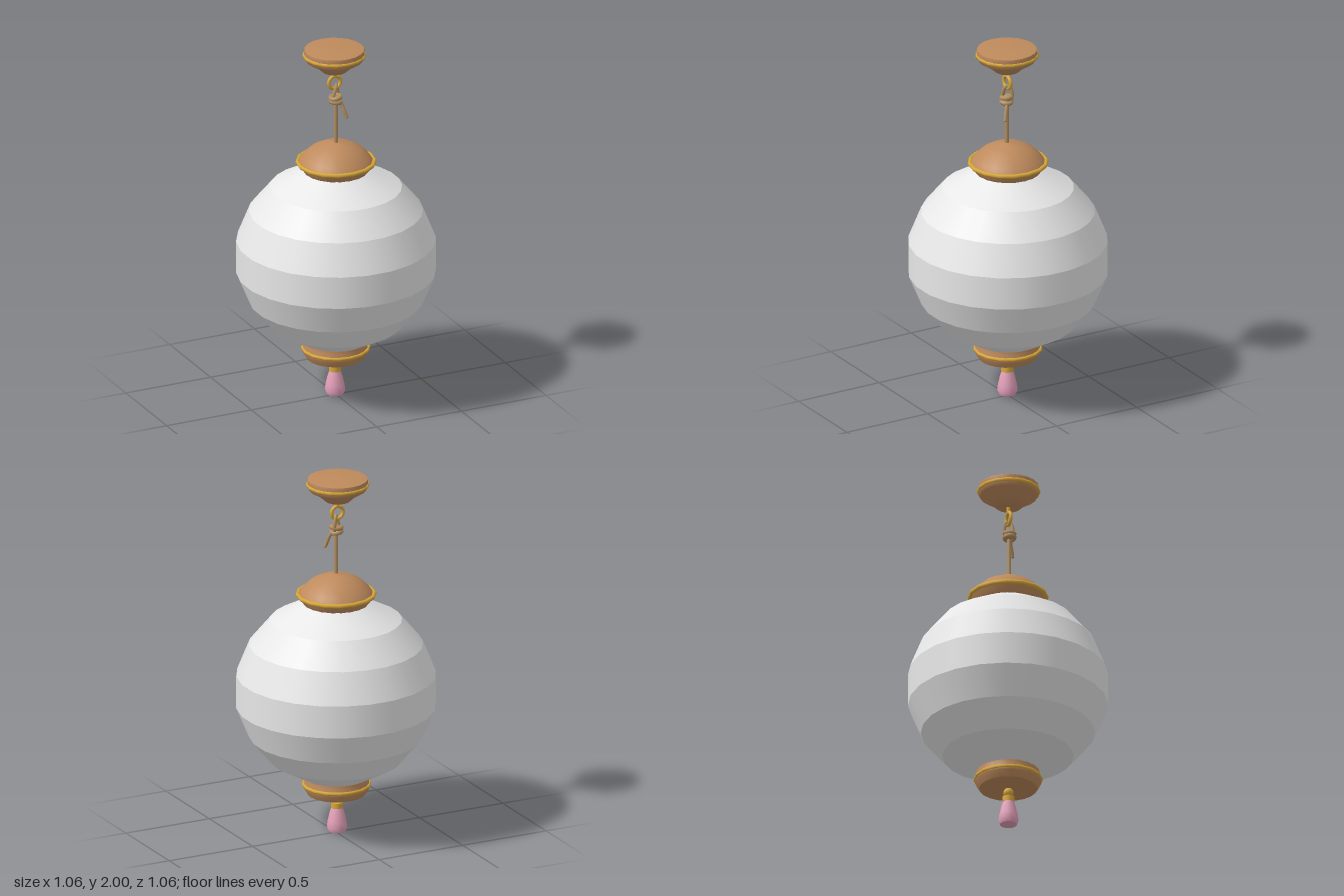
import * as THREE from 'three';

export function createModel() {
  const model = new THREE.Group();
  model.name = 'hangingLantern';

  const material = (name, color) => {
    const m = new THREE.MeshStandardMaterial({ color });
    m.name = name;
    return m;
  };
  const paper = material('white paper', 0xededed);
  const wood = material('brown wood', 0xbe8a5c);
  const gold = material('gold trim', 0xd9a83a);
  const rope = material('tan rope', 0xb39062);
  const pink = material('pink tassel', 0xe3a0b8);

  const add = (name, geometry, mat, x = 0, y = 0, z = 0, parent = model) => {
    const mesh = new THREE.Mesh(geometry, mat);
    mesh.name = name;
    mesh.position.set(x, y, z);
    parent.add(mesh);
    return mesh;
  };
  // Profiles run from bottom to top as [radius, y]
  const lathe = (profile, sides, start = 0) =>
    new THREE.LatheGeometry(profile.map(([r, y]) => new THREE.Vector2(r, y)), sides, start);
  const trim = (name, radius, tube, x, y) => {
    add(name, new THREE.TorusGeometry(radius, tube, 6, 16), gold, x, y, 0).rotation.x = Math.PI / 2;
  };
  const cord = (name, points, radius, closed = false) => {
    const curve = new THREE.CatmullRomCurve3(points.map(p => new THREE.Vector3(...p)), closed);
    add(name, new THREE.TubeGeometry(curve, 24, radius, 6, closed), rope);
  };

  // Paper globe: separate bands keep a crisp edge at every rib
  const globe = new THREE.Group();
  globe.name = 'globe';
  model.add(globe);
  const ribs = [[0.17, 0.315], [0.35, 0.413], [0.465, 0.55], [0.533, 0.714],
    [0.533, 0.894], [0.465, 1.064], [0.352, 1.2], [0.17, 1.296]];
  for (let i = 0; i < ribs.length - 1; i++) {
    add('globeBand', lathe([ribs[i], ribs[i + 1]], 24, Math.PI / 24), paper, 0, 0, 0, globe);
  }

  // Ceiling plate
  add('ceilingPlate', lathe([[0, 1.866], [0.065, 1.868], [0.1, 1.9], [0.152, 1.932],
    [0.165, 1.96], [0.16, 1.992]], 20), wood, -0.01);
  add('ceilingPlateTop', lathe([[0.16, 1.992], [0.12, 1.998], [0, 2]], 20), wood, -0.01);
  trim('ceilingPlateTrim', 0.16, 0.011, -0.01, 1.961);

  // Upper cap
  add('upperCapDome', lathe([[0.2, 1.345], [0.18, 1.376], [0.135, 1.417],
    [0.075, 1.447], [0, 1.46]], 20), wood);
  add('upperCapSkirt', lathe([[0.172, 1.292], [0.185, 1.31], [0.2, 1.345]], 20), wood);
  add('upperCapBase', lathe([[0, 1.292], [0.172, 1.292]], 20), wood);
  trim('upperCapTrim', 0.205, 0.012, 0, 1.344);

  // Lower cap
  add('lowerCap', lathe([[0.155, 0.22], [0.176, 0.255], [0.178, 0.275],
    [0.168, 0.295], [0.168, 0.325]], 20), wood, -0.004);
  add('lowerCapBottom', lathe([[0, 0.215], [0.12, 0.217], [0.155, 0.22]], 20), wood, -0.004);
  trim('lowerCapTrim', 0.176, 0.01, -0.002, 0.274);

  // Hook and ring
  add('hookStem', new THREE.CylinderGeometry(0.013, 0.01, 0.04, 8), gold, -0.008, 1.855);
  add('hookRing', new THREE.TorusGeometry(0.035, 0.01, 8, 16), gold, -0.008, 1.802);

  // Rope, loop through the ring, knot and loose end
  add('hangingRope', new THREE.CylinderGeometry(0.012, 0.012, 0.27, 8), rope, -0.003, 1.575, 0.005);
  cord('ropeLoop', [[-0.025, 1.7, 0.01], [-0.022, 1.735, 0.018], [-0.006, 1.778, 0.012],
    [0.004, 1.785, -0.004], [0.016, 1.74, -0.016], [0.01, 1.7, -0.008]], 0.01, true);
  for (const [y, tilt] of [[1.717, 0.15], [1.693, -0.15]]) {
    const wrap = add('knotWrap', new THREE.TorusGeometry(0.026, 0.013, 7, 14), rope, -0.006, y, 0.006);
    wrap.rotation.set(Math.PI / 2, tilt, 0);
  }
  add('knotCore', new THREE.SphereGeometry(0.026, 10, 8), rope, -0.005, 1.705, 0.005);
  cord('looseEnd', [[0.008, 1.7, 0.015], [0.024, 1.672, 0.024], [0.033, 1.64, 0.034],
    [0.042, 1.608, 0.042]], 0.01);
  add('looseEndTip', new THREE.SphereGeometry(0.01, 8, 6), rope, 0.042, 1.608, 0.042);

  // Tassel
  add('tasselStem', new THREE.CylinderGeometry(0.012, 0.012, 0.08, 8), gold, -0.006, 0.19);
  add('tasselBead', new THREE.SphereGeometry(0.028, 12, 8), gold, -0.006, 0.194);
  add('tasselCollar', new THREE.CylinderGeometry(0.033, 0.033, 0.03, 12), gold, -0.006, 0.154);
  add('tasselSkirt', lathe([[0.046, 0.008], [0.055, 0.03], [0.05, 0.065],
    [0.04, 0.11], [0.029, 0.145]], 12), pink, -0.006);
  add('tasselBottom', lathe([[0, 0], [0.03, 0.003], [0.046, 0.008]], 12), pink, -0.006);

  return model;
}
